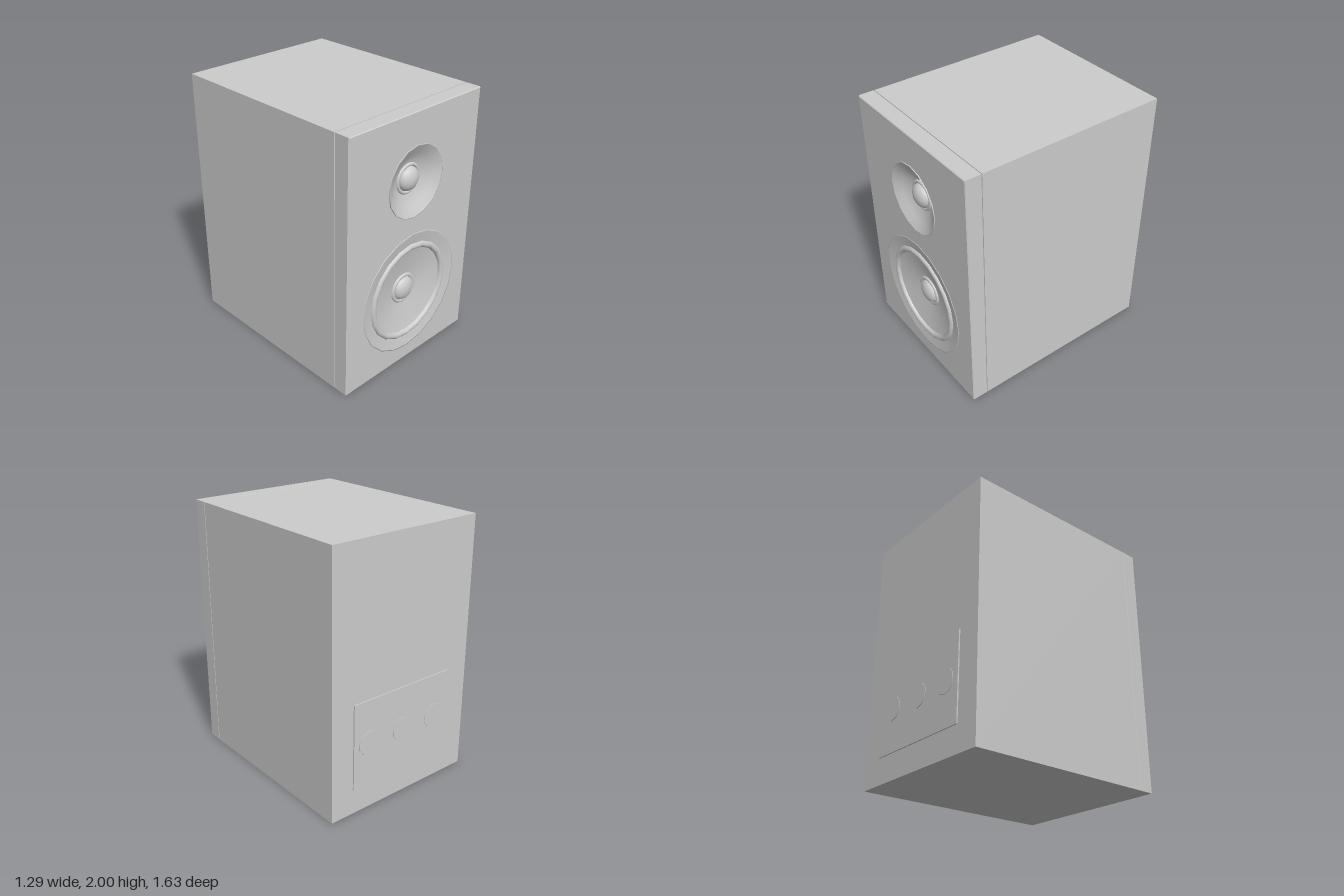
import * as THREE from 'three';

const material = new THREE.MeshStandardMaterial({ color: 0xcccccc, side: THREE.DoubleSide });
const W = 0.643, H = 2, BACK = -0.803, SEAM = 0.68, FRONT = 0.806;

function add(parent, name, geometry, x = 0, y = 0, z = 0) {
  const mesh = new THREE.Mesh(geometry, material);
  mesh.name = name;
  mesh.position.set(x, y, z);
  parent.add(mesh);
  return mesh;
}

// Regular polygon outline, first corner at the bottom
function ring(r, sides, cy) {
  return Array.from({ length: sides }, (_, i) => {
    const a = (i / sides) * Math.PI * 2;
    return new THREE.Vector2(r * Math.sin(a), cy - r * Math.cos(a));
  });
}

// Turned part facing +z; profile runs from rim to centre as [radius, z]
function turned(profile, sides) {
  const points = profile.map(([r, z]) => new THREE.Vector2(r, z));
  return new THREE.LatheGeometry(points, sides).rotateX(Math.PI / 2);
}

// Shallow dome profile
function domeProfile(r, height, z) {
  return Array.from({ length: 9 }, (_, i) => {
    const a = (i / 8) * Math.PI / 2;
    return [Math.max(r * Math.cos(a), 0), z + height * Math.sin(a)];
  });
}

// Half-round roll profile between two radii
function rollProfile(outer, inner, z, height) {
  const mid = (outer + inner) / 2, half = (outer - inner) / 2;
  return Array.from({ length: 9 }, (_, i) => {
    const a = (i / 8) * Math.PI;
    return [mid + half * Math.cos(a), z + height * Math.sin(a)];
  });
}

export function createModel() {
  const model = new THREE.Group();
  model.name = 'bookshelfSpeaker';
  const tweeterY = 1.488, wooferY = 0.595;

  // Cabinet behind the baffle
  add(model, 'cabinet', new THREE.BoxGeometry(W * 2, H, SEAM - BACK), 0, H / 2, (SEAM + BACK) / 2);

  // Front baffle with two driver openings and a fine edge bevel
  const b = 0.006;
  const face = new THREE.Shape([
    new THREE.Vector2(-W + b, b), new THREE.Vector2(W - b, b),
    new THREE.Vector2(W - b, H - b), new THREE.Vector2(-W + b, H - b),
  ]);
  face.holes.push(new THREE.Path(ring(0.268, 16, tweeterY)), new THREE.Path(ring(0.48, 20, wooferY)));
  add(model, 'baffle', new THREE.ExtrudeGeometry(face, {
    depth: FRONT - SEAM - 2 * b, bevelEnabled: true, bevelThickness: b, bevelSize: b, bevelSegments: 1,
  }), 0, 0, SEAM + b);

  // Tweeter: flared horn, ring and dome
  const tweeter = new THREE.Group();
  tweeter.name = 'tweeter';
  tweeter.position.set(0, tweeterY, FRONT);
  add(tweeter, 'tweeterHorn', turned([[0.272, -0.02], [0.272, 0.006], [0.268, 0.006], [0.2, -0.03], [0.115, -0.075], [0.0, -0.08]], 16));
  add(tweeter, 'tweeterRing', turned(rollProfile(0.117, 0.09, -0.075, 0.014), 24));
  add(tweeter, 'tweeterDome', turned(domeProfile(0.092, 0.06, -0.075), 24));
  model.add(tweeter);

  // Woofer: frame, rolled surround, cone, ring and dust cap
  const woofer = new THREE.Group();
  woofer.name = 'woofer';
  woofer.position.set(0, wooferY, FRONT);
  add(woofer, 'wooferFrame', turned([[0.486, -0.01], [0.486, 0.002], [0.478, 0.002], [0.39, -0.014]], 20));
  add(woofer, 'wooferSurround', turned(rollProfile(0.396, 0.345, -0.02, 0.024), 20));
  add(woofer, 'wooferCone', turned([[0.352, -0.022], [0.12, -0.07], [0, -0.075]], 20));
  add(woofer, 'wooferRing', turned(rollProfile(0.121, 0.09, -0.07, 0.014), 24));
  add(woofer, 'dustCap', turned(domeProfile(0.094, 0.05, -0.07), 24));
  model.add(woofer);

  // Rear connection plate with three round terminals
  add(model, 'rearPlate', new THREE.BoxGeometry(0.91, 0.665, 0.02), 0, 0.53, BACK);
  for (const x of [-0.315, 0, 0.315]) {
    const terminal = new THREE.CylinderGeometry(0.095, 0.095, 0.02, 10).rotateX(Math.PI / 2);
    add(model, 'rearTerminal', terminal, x, 0.53, BACK - 0.004);
  }
  return model;
}
